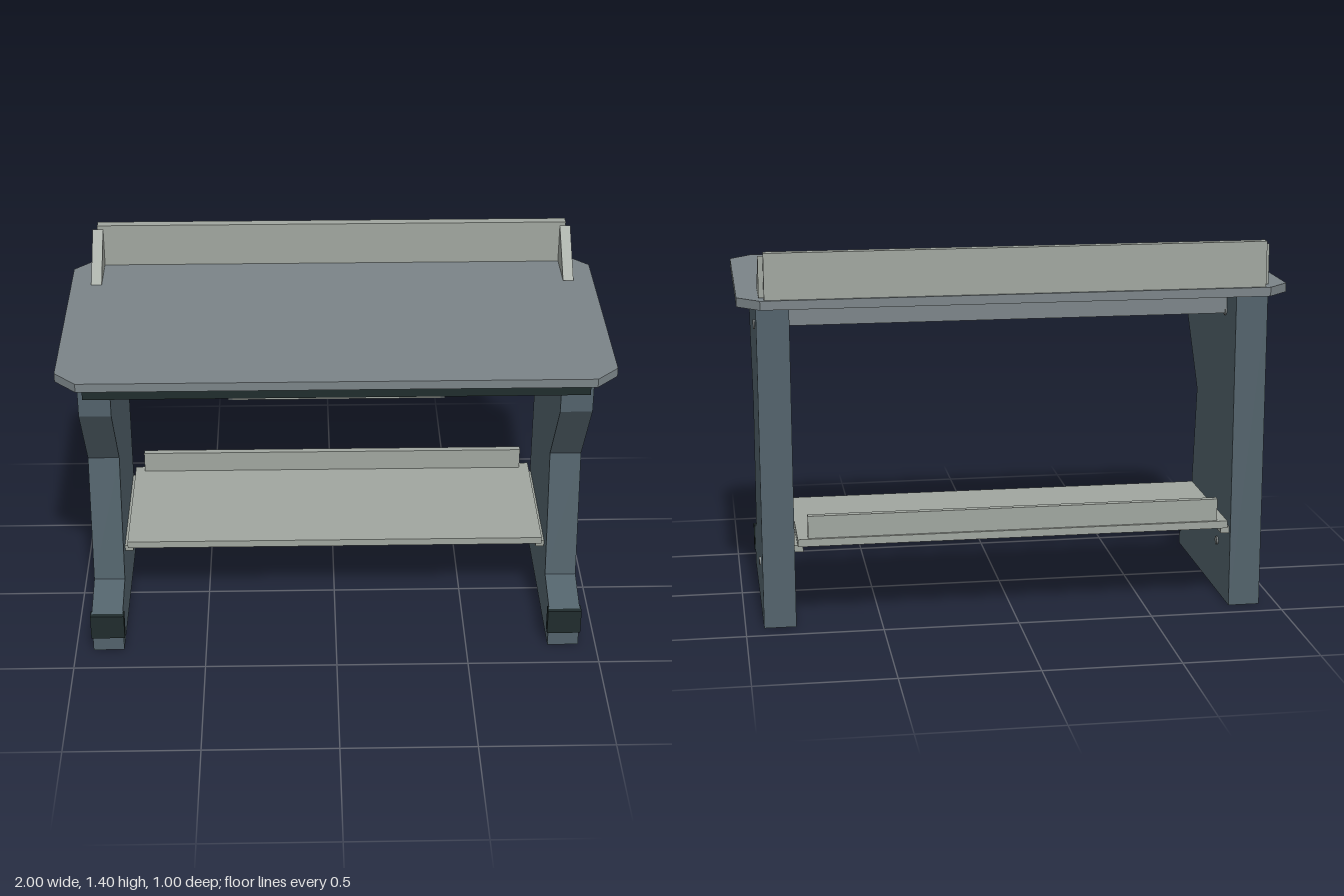
import * as THREE from 'three';

const mat = (name, color) => {
  const m = new THREE.MeshStandardMaterial({ color });
  m.name = name;
  return m;
};

export function createModel() {
  const group = new THREE.Group();
  const slate = mat('slate blue', 0x52626b);
  const grey = mat('worktop grey', 0x7b8488);
  const pale = mat('pale grey', 0xa0a69f);
  const black = mat('rubber black', 0x202c2d);
  const steel = mat('bolt grey', 0x858b8b);

  const add = (name, geometry, material) => {
    const mesh = new THREE.Mesh(geometry, material);
    mesh.name = name;
    group.add(mesh);
    return mesh;
  };

  // Box given by its lower and upper limits on each axis
  const box = (name, material, [x0, x1], [y0, y1], [z0, z1]) => {
    const g = new THREE.BoxGeometry(x1 - x0, y1 - y0, z1 - z0);
    g.translate((x0 + x1) / 2, (y0 + y1) / 2, (z0 + z1) / 2);
    return add(name, g, material);
  };

  const extrude = (points, depth) => new THREE.ExtrudeGeometry(
    new THREE.Shape(points.map(([a, b]) => new THREE.Vector2(a, b))),
    { depth, bevelEnabled: false });

  // Side profile in (z, y), extruded along x and centred on the given x
  const sidePanel = (name, material, profile, width, x) => {
    const g = extrude(profile.map(([z, y]) => [-z, y]), width);
    g.translate(0, 0, -width / 2);
    g.rotateY(Math.PI / 2);
    g.translate(x, 0, 0);
    return add(name, g, material);
  };

  // Worktop with cut corners
  const c = 0.08;
  const top = extrude([[-1 + c, -0.5], [1 - c, -0.5], [1, -0.5 + c], [1, 0.5 - c],
    [1 - c, 0.5], [-1 + c, 0.5], [-1, 0.5 - c], [-1, -0.5 + c]], 0.033);
  top.rotateX(-Math.PI / 2);
  top.translate(0, 1.2, 0);
  add('worktop', top, grey);

  const legProfile = [[0.385, 0], [-0.42, 0], [-0.42, 1.2], [0.34, 1.2],
    [0.34, 1.01], [0.14, 0.715], [0.207, 0.207], [0.385, 0.157]];
  const gusset = [[-0.275, 1.236], [-0.455, 1.236], [-0.455, 1.385]];

  for (const [s, side] of [[1, 'left'], [-1, 'right']]) {
    const span = (a, b) => (s > 0 ? [a, b] : [-b, -a]);
    sidePanel(side + 'Leg', slate, legProfile, 0.118, s * 0.874);
    box(side + 'FootBumper', black, span(0.81, 0.938), [0.06, 0.16], [0.355, 0.393]);
    sidePanel(side + 'BackboardBracket', pale, gusset, 0.04, s * 0.903);

    // Bolts passing through the leg
    for (const [y, z] of [[1.107, -0.272], [0.2, -0.232]]) {
      const g = new THREE.CylinderGeometry(0.017, 0.017, 0.13, 8);
      g.rotateZ(Math.PI / 2);
      g.translate(s * 0.874, y, z);
      add(side + 'Bolt', g, steel);
    }

    // Angle iron under the shelf
    box(side + 'ShelfSupport', pale, span(0.783, 0.816), [0.28, 0.305], [-0.4, 0.12]);
    box(side + 'DrawerPlateEnd', grey, span(0.372, 0.388), [1.11, 1.2], [0.389, 0.405]);
  }

  // Raised board along the rear of the worktop
  box('backboard', pale, [-0.905, 0.905], [1.233, 1.4], [-0.49, -0.455]);

  // Rails and plate under the worktop
  box('rearRail', grey, [-0.816, 0.816], [1.1, 1.2], [-0.285, -0.26]);
  box('frontBumper', black, [-0.9, 0.9], [1.157, 1.2], [0.42, 0.478]);
  box('frontPlate', pale, [-0.372, 0.372], [1.112, 1.2], [0.39, 0.408]);

  // Lower shelf with rear lip
  box('shelf', pale, [-0.803, 0.803], [0.305, 0.333], [-0.42, 0.14]);
  box('shelfLip', pale, [-0.765, 0.765], [0.333, 0.417], [-0.41, -0.385]);

  return group;
}
